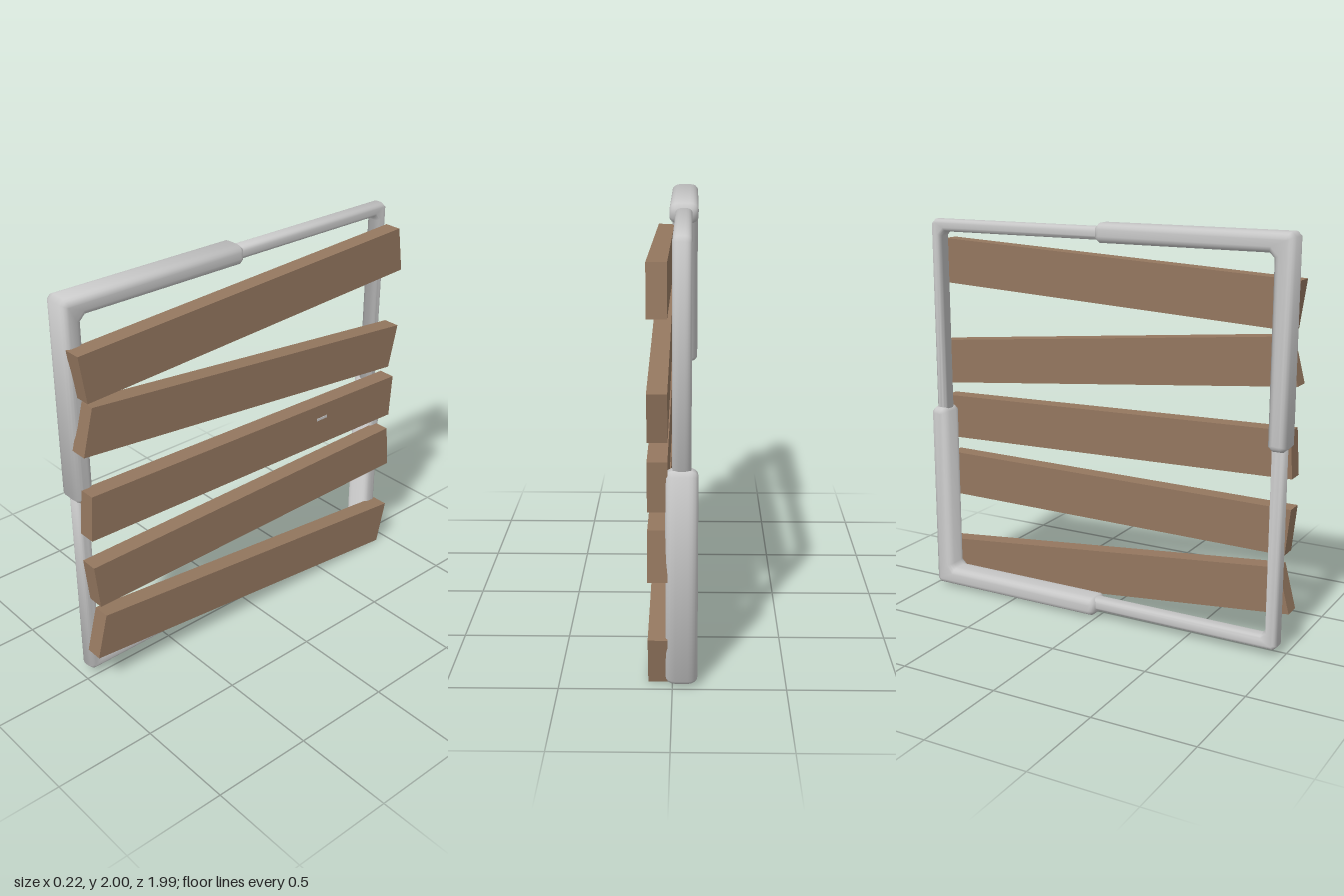
import * as THREE from 'three';
import { toCreasedNormals } from 'three/addons/utils/BufferGeometryUtils.js';

const metal = new THREE.MeshStandardMaterial({ color: 0xc9c9c9 });
metal.name = 'silver metal';
const wood = new THREE.MeshStandardMaterial({ color: 0x94775f });
wood.name = 'brown wood';

// Extrude a [z, y] outline along x, from x0 to x1, with an inset bevel
function extrudeX(points, x0, x1, bevelSize = 0, bevelThickness = 0) {
  const shape = new THREE.Shape(points.map(([z, y]) => new THREE.Vector2(-z, y)));
  const geo = new THREE.ExtrudeGeometry(shape, {
    depth: x1 - x0 - 2 * bevelThickness,
    bevelEnabled: bevelSize > 0,
    bevelSize, bevelThickness, bevelOffset: -bevelSize, bevelSegments: 4,
  });
  geo.rotateY(Math.PI / 2);
  geo.translate(x0 + bevelThickness, 0, 0);
  return geo;
}

// L-shaped rounded bar: outer corner (z, y), arms reaching to endZ and endY
function cornerBar(name, z, y, endZ, endY, t, x0, x1, bevel) {
  const sz = Math.sign(endZ - z), sy = Math.sign(endY - y), c = 0.022;
  const iz = z + sz * t, iy = y + sy * t;
  const outline = [
    [z + sz * c, y], [endZ - sz * c, y], [endZ, y + sy * c],
    [endZ, iy - sy * c], [endZ - sz * c, iy],
    [iz + sz * c, iy], [iz, iy + sy * c],
    [iz, endY - sy * c], [iz - sz * c, endY],
    [z + sz * c, endY], [z, endY - sy * c], [z, y + sy * c],
  ];
  const geo = extrudeX(outline, x0, x1, bevel, bevel * 1.4);
  const mesh = new THREE.Mesh(toCreasedNormals(geo, 0.95), metal);
  mesh.name = name;
  return mesh;
}

export function createModel() {
  const model = new THREE.Group();
  model.name = 'slattedFrame';

  // Frame: two thick corner sleeves and two thin corner bars sliding into them
  const frame = new THREE.Group();
  frame.name = 'frame';
  frame.add(
    cornerBar('upperFrontSleeve', 0.995, 2.0, 0, 1.01, 0.095, -0.11, 0.03, 0.03),
    cornerBar('lowerBackSleeve', -0.99, 0.012, 0, 1.0, 0.095, -0.11, 0.03, 0.03),
    cornerBar('upperBackBar', -0.97, 1.98, 0.06, 0.94, 0.063, -0.08, 0.0, 0.02),
    cornerBar('lowerFrontBar', 0.977, 0.035, -0.06, 1.07, 0.066, -0.08, 0.0, 0.02),
  );
  model.add(frame);

  // Crooked planks: corners as [z, y]
  const planks = [
    [[0.99, 1.78], [-0.95, 1.875], [-0.985, 1.648], [0.957, 1.55]],
    [[0.937, 1.525], [-0.987, 1.337], [-0.935, 1.113], [0.995, 1.3]],
    [[0.97, 1.09], [-0.977, 1.042], [-0.963, 0.815], [0.985, 0.862]],
    [[0.986, 0.714], [-0.957, 0.73], [-0.982, 0.5], [0.963, 0.485]],
    [[0.937, 0.42], [-0.987, 0.23], [-0.933, 0.003], [0.995, 0.195]],
  ];
  planks.forEach((corners, i) => {
    const plank = new THREE.Mesh(extrudeX(corners, 0.02, 0.107), wood);
    plank.name = `plank${i + 1}`;
    model.add(plank);
  });

  // Tiny metal staple on the middle plank
  const staple = new THREE.Mesh(new THREE.BoxGeometry(0.004, 0.014, 0.07), metal);
  staple.name = 'staple';
  staple.position.set(0.107, 0.977, -0.45);
  model.add(staple);

  return model;
}
